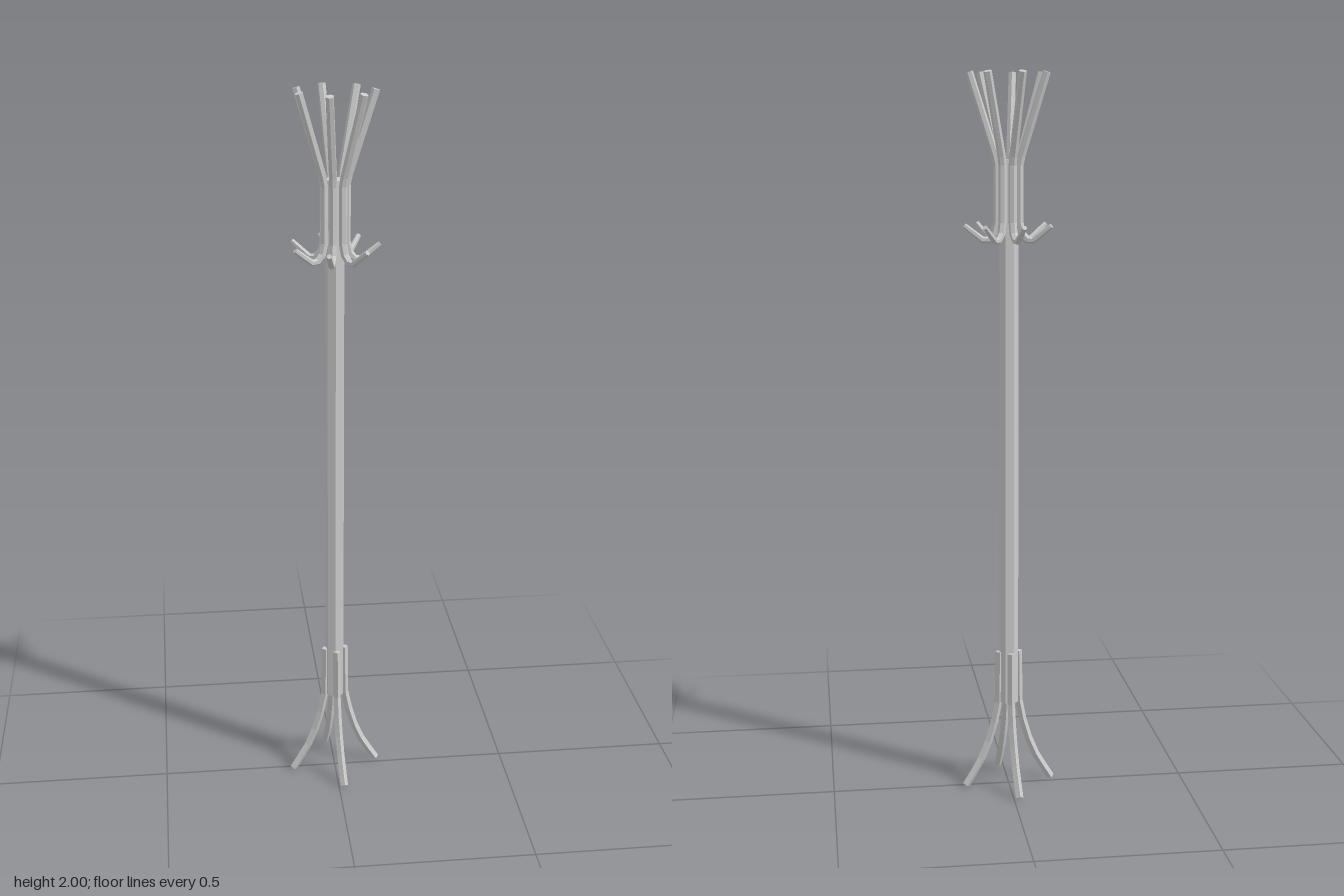
import * as THREE from 'three';

const material = new THREE.MeshStandardMaterial({ color: 0xcccccc, flatShading: true });

// Faceted rod swept along a path of [distance from axis, height, thickness radius],
// lying in the vertical xy plane, with closed ends.
function rodGeometry(path, sides, phase = 0) {
  const pts = path.map(([r, y]) => new THREE.Vector2(r, y));
  const pos = [], index = [];
  pts.forEach((p, i) => {
    const prev = pts[Math.max(i - 1, 0)], next = pts[Math.min(i + 1, pts.length - 1)];
    const t = next.clone().sub(prev).normalize();
    for (let k = 0; k < sides; k++) {
      const a = phase + (k / sides) * Math.PI * 2;
      const u = Math.cos(a) * path[i][2], w = Math.sin(a) * path[i][2];
      pos.push(p.x - t.y * u, p.y + t.x * u, w);
    }
  });
  for (let i = 0; i < pts.length - 1; i++) {
    for (let k = 0; k < sides; k++) {
      const a = i * sides + k, b = i * sides + (k + 1) % sides;
      index.push(a, b, a + sides, b, b + sides, a + sides);
    }
  }
  const last = (pts.length - 1) * sides;
  for (let k = 1; k < sides - 1; k++) {
    index.push(0, k + 1, k, last, last + k, last + k + 1);
  }
  const geometry = new THREE.BufferGeometry();
  geometry.setAttribute('position', new THREE.Float32BufferAttribute(pos, 3));
  geometry.setIndex(index);
  geometry.computeVertexNormals();
  return geometry;
}

// Copies of a rod spread evenly around the pole
function ring(group, name, geometry, count, startAngle) {
  for (let i = 0; i < count; i++) {
    const mesh = new THREE.Mesh(geometry, material);
    mesh.name = name + (i + 1);
    mesh.rotation.y = -(startAngle + (i / count) * Math.PI * 2);
    group.add(mesh);
  }
}

export function createModel() {
  const model = new THREE.Group();
  model.name = 'coatStand';

  // Central pole
  const bottom = 0.25, top = 1.77;
  const pole = new THREE.Mesh(new THREE.CylinderGeometry(0.027, 0.027, top - bottom, 7), material);
  pole.name = 'pole';
  pole.position.y = (top + bottom) / 2;
  model.add(pole);

  // Seven arms: flared above, upright along the pole, curling into a thin hook below
  const arm = rodGeometry([
    [0.12, 1.597, 0.007],
    [0.092, 1.575, 0.008],
    [0.07, 1.558, 0.009],
    [0.053, 1.559, 0.01],
    [0.038, 1.575, 0.011],
    [0.031, 1.605, 0.011],
    [0.031, 1.755, 0.011],
    [0.036, 1.78, 0.011],
    [0.105, 1.997, 0.011],
  ], 6);
  ring(model, 'arm', arm, 7, 0);

  // Four splayed legs with a diamond section
  const leg = rodGeometry([
    [0.125, 0.008, 0.011],
    [0.102, 0.045, 0.011],
    [0.08, 0.083, 0.011],
    [0.059, 0.133, 0.011],
    [0.042, 0.19, 0.011],
    [0.03, 0.25, 0.011],
    [0.028, 0.4, 0.011],
  ], 4);
  ring(model, 'leg', leg, 4, -0.12);

  return model;
}
